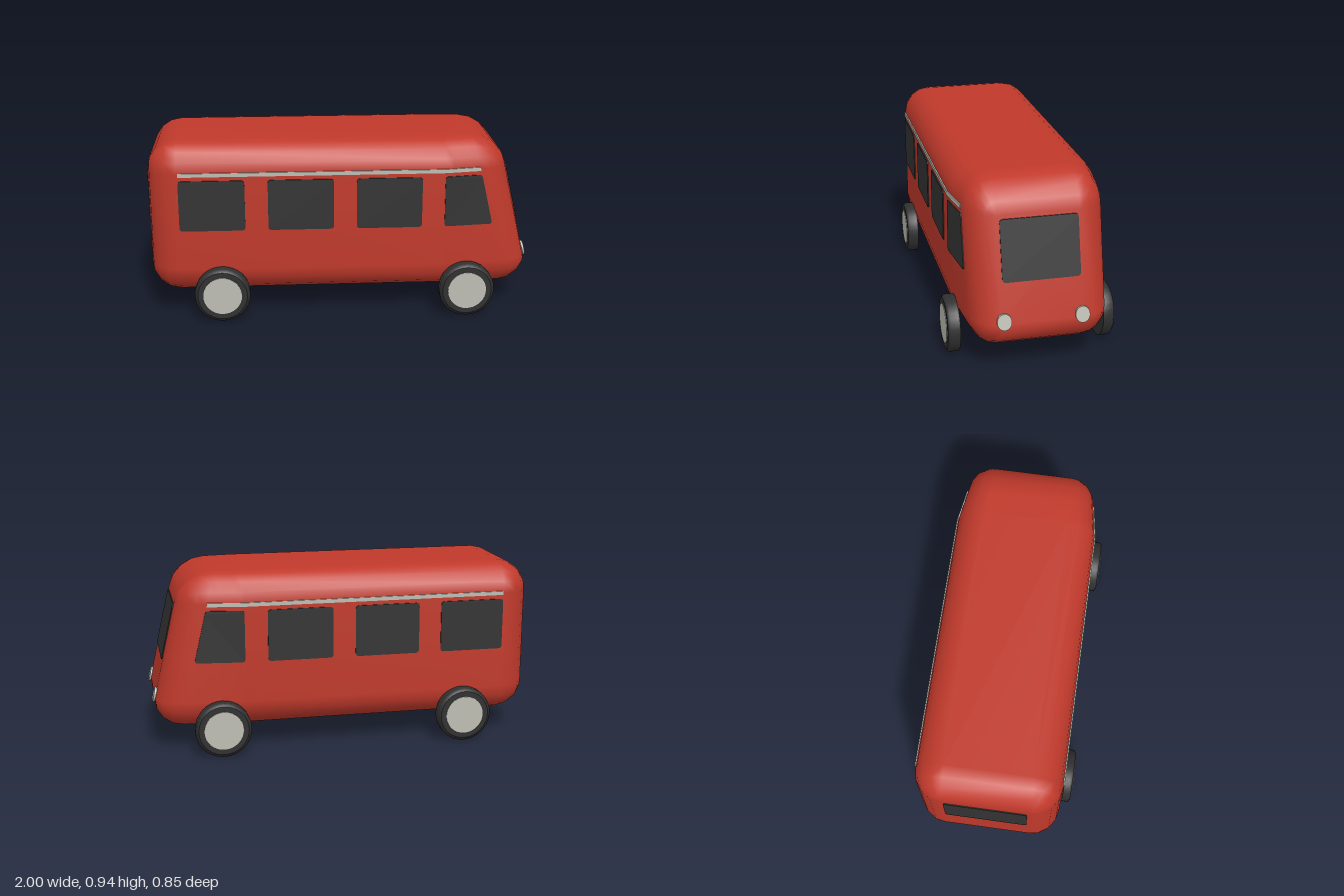
import * as THREE from 'three';
import { mergeVertices } from 'three/addons/utils/BufferGeometryUtils.js';

const REAR = -0.995, FRONT = 0.99, BOTTOM = 0.125, TOP = 0.935, HALF_W = 0.37, R = 0.15;
const NOSE = 0.53; // where the cab starts to narrow and lean back

// Lean the nose back above the bumper and narrow it slightly
function warp(geo) {
  const p = geo.attributes.position;
  for (let i = 0; i < p.count; i++) {
    const x = p.getX(i), y = p.getY(i);
    const w = THREE.MathUtils.clamp((x - NOSE) / (FRONT - R - NOSE), 0, 1);
    p.setX(i, x - w * 0.235 * Math.max(0, y - 0.25));
    p.setZ(i, p.getZ(i) * (1 - 0.075 * w));
  }
  geo.computeVertexNormals();
  return geo;
}

// Rounded-box shell lofted from rounded-rectangle sections along x
function bodyGeometry() {
  const N = 4, stations = [], pos = [], idx = [];
  for (let i = 0; i <= N; i++) {
    const a = (i / N) * Math.PI / 2;
    stations.push([REAR + R - R * Math.cos(a), R * Math.sin(a)]);
  }
  for (let i = 0; i < 4; i++) stations.push([NOSE + i * (FRONT - R - NOSE) / 4, R]);
  for (let i = 0; i <= N; i++) {
    const a = (i / N) * Math.PI / 2;
    stations.push([FRONT - R + R * Math.sin(a), R * Math.cos(a)]);
  }
  const cy = (TOP + BOTTOM) / 2, hy = (TOP - BOTTOM) / 2 - R, hz = HALF_W - R;
  const ring = 4 * (N + 1);
  for (const [x, r] of stations) {
    for (let q = 0; q < 4; q++) {
      const sz = q === 0 || q === 3 ? 1 : -1, sy = q < 2 ? 1 : -1;
      for (let k = 0; k <= N; k++) {
        const t = (q + k / N) * Math.PI / 2;
        pos.push(x, cy + sy * hy + r * Math.sin(t), sz * hz + r * Math.cos(t));
      }
    }
  }
  const last = (stations.length - 1) * ring, rearC = last + ring, frontC = rearC + 1;
  pos.push(REAR, cy, 0, FRONT, cy, 0);
  for (let j = 0; j < ring; j++) {
    const k = (j + 1) % ring;
    for (let i = 0; i < stations.length - 1; i++) {
      const a = i * ring + j, b = a + ring, c = i * ring + k, d = c + ring;
      idx.push(a, b, c, b, d, c);
    }
    idx.push(rearC, j, k, frontC, last + k, last + j);
  }
  const geo = new THREE.BufferGeometry();
  geo.setAttribute('position', new THREE.Float32BufferAttribute(pos, 3));
  geo.setIndex(idx);
  return warp(mergeVertices(geo, 1e-5));
}

// Thin rounded-rectangle plate lying in the xy plane
function plate(x0, x1, y0, y1, r) {
  const s = new THREE.Shape();
  s.moveTo(x0 + r, y0);
  s.lineTo(x1 - r, y0); s.quadraticCurveTo(x1, y0, x1, y0 + r);
  s.lineTo(x1, y1 - r); s.quadraticCurveTo(x1, y1, x1 - r, y1);
  s.lineTo(x0 + r, y1); s.quadraticCurveTo(x0, y1, x0, y1 - r);
  s.lineTo(x0, y0 + r); s.quadraticCurveTo(x0, y0, x0 + r, y0);
  return new THREE.ExtrudeGeometry(s, { depth: 0.009, bevelEnabled: false, curveSegments: 4 });
}

export function createModel() {
  const bus = new THREE.Group();
  bus.name = 'bus';
  const mat = (name, color) => {
    const m = new THREE.MeshStandardMaterial({ color });
    m.name = name;
    return m;
  };
  const red = mat('red paint', 0xc0392b);
  const glass = mat('dark glass', 0x333333);
  const rubber = mat('tyre rubber', 0x303030);
  const pale = mat('pale metal', 0xbdbdb3);
  const add = (name, geo, material, parent = bus) => {
    const m = new THREE.Mesh(geo, material);
    m.name = name;
    parent.add(m);
    return m;
  };

  add('body', bodyGeometry(), red);

  // Side windows and trim strips, on both sides
  const windows = [[-0.834, -0.498], [-0.38, -0.043], [0.075, 0.412], [NOSE, FRONT - R]];
  const strips = [[-0.834, NOSE], [NOSE, FRONT - R]];
  for (const side of [1, -1]) {
    const z = side > 0 ? HALF_W - 0.004 : -HALF_W - 0.005;
    const label = side > 0 ? 'left' : 'right';
    for (const [a, b] of windows)
      add(label + 'SideWindow', warp(plate(a, b, 0.485, 0.752, 0.018).translate(0, 0, z)), glass);
    for (const [a, b] of strips)
      add(label + 'TrimStrip', warp(plate(a, b, 0.773, 0.793, 0.001).translate(0, 0, z)), pale);
  }

  // Windscreen and rear window
  add('windscreen', warp(plate(-0.2075, 0.2075, 0.472, 0.765, 0.02)
    .rotateY(Math.PI / 2).translate(FRONT - 0.004, 0, 0)), glass);
  add('rearWindow', plate(-0.21, 0.21, 0.51, 0.76, 0.02)
    .rotateY(-Math.PI / 2).translate(REAR + 0.004, 0, 0), glass);

  // Headlights
  for (const side of [1, -1])
    add('headlight', warp(new THREE.CylinderGeometry(0.039, 0.039, 0.012, 24).toNonIndexed()
      .rotateZ(-Math.PI / 2).translate(FRONT + 0.004, 0.29, side * 0.2075)), pale);

  // Wheels: chamfered tyre with a flat hub disc on the outside
  const profile = [[0, 0], [0.142, 0], [0.144, 0.01], [0.144, 0.048], [0.128, 0.06], [0, 0.06]]
    .map(([r, h]) => new THREE.Vector2(r, h));
  // Doubled corner points keep the flat faces crisp
  const crisp = profile.flatMap((p, i) => (i === 1 || i === 4 ? [p, p.clone().addScalar(1e-4)] : [p]));
  crisp[5].set(0.1279, 0.06);
  const tyre = new THREE.LatheGeometry(crisp, 32).rotateX(Math.PI / 2);
  const hub = new THREE.CylinderGeometry(0.1, 0.1, 0.006, 32).rotateX(Math.PI / 2).translate(0, 0, 0.06);
  for (const x of [-0.624, 0.652]) {
    for (const side of [1, -1]) {
      const wheel = new THREE.Group();
      wheel.name = x > 0 ? 'frontWheel' : 'rearWheel';
      wheel.position.set(x, 0.144, side * 0.364);
      if (side < 0) wheel.rotation.y = Math.PI;
      add('tyre', tyre, rubber, wheel);
      add('hub', hub, pale, wheel);
      bus.add(wheel);
    }
  }
  return bus;
}
